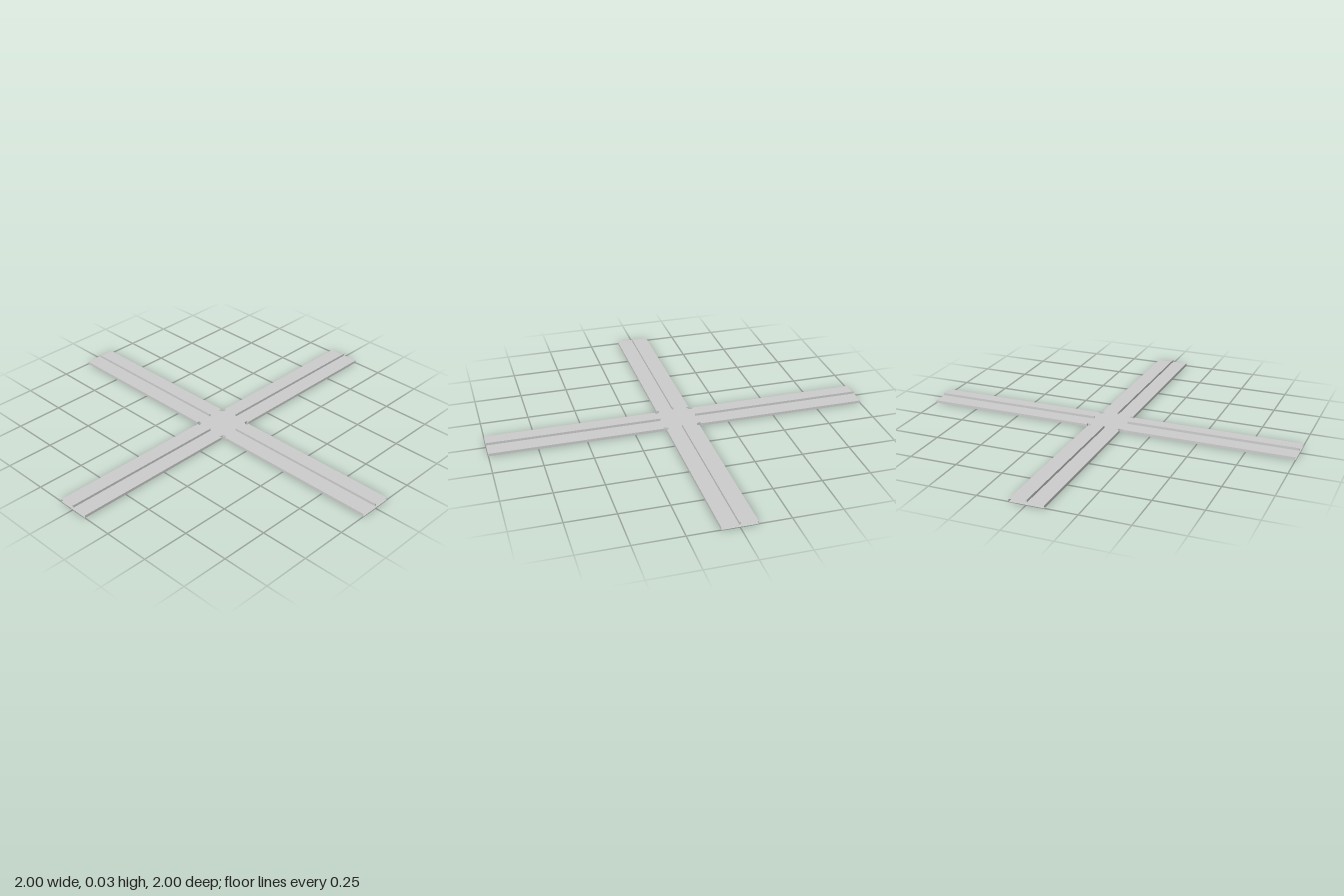
import * as THREE from 'three';

const HALF = 0.088;   // half width of an arm
const PLATE = 0.014;  // height of the plate's top
const TOP = 0.027;    // height of the ribs' top

export function createModel() {
  const group = new THREE.Group();
  const mat = new THREE.MeshStandardMaterial({ color: 0xcccccc, flatShading: true, side: THREE.DoubleSide });
  const add = (geometry, name) => {
    const mesh = new THREE.Mesh(geometry, mat);
    mesh.name = name;
    group.add(mesh);
    return mesh;
  };

  // Cross outline: one arm end and one relief notch, turned four times
  const quarter = [
    [1, -HALF], [1, HALF], [0.1, HALF], [0.1, 0.074],
    [0.08, 0.08], [0.074, 0.1], [HALF, 0.1],
  ];
  const outline = [];
  for (let i = 0; i < 4; i++) {
    const c = [1, 0, -1, 0][i], s = [0, 1, 0, -1][i];
    for (const [x, y] of quarter) outline.push(new THREE.Vector2(x * c - y * s, x * s + y * c));
  }
  const shape = new THREE.Shape(outline);

  // Top and bottom skins of the hollow plate
  add(new THREE.ShapeGeometry(shape).rotateX(-Math.PI / 2).translate(0, PLATE, 0), 'plateTop');
  add(new THREE.ShapeGeometry(shape).rotateX(Math.PI / 2), 'plateBottom');

  // Side walls, leaving the arm ends open
  const pos = [];
  outline.forEach((a, i) => {
    if (i % quarter.length === 0) return;
    const b = outline[(i + 1) % outline.length];
    const a0 = [a.x, 0, -a.y], b0 = [b.x, 0, -b.y];
    const a1 = [a.x, PLATE, -a.y], b1 = [b.x, PLATE, -b.y];
    pos.push(...a0, ...b0, ...b1, ...a0, ...b1, ...a1);
  });
  const walls = new THREE.BufferGeometry();
  walls.setAttribute('position', new THREE.Float32BufferAttribute(pos, 3));
  walls.computeVertexNormals();
  add(walls, 'plateSides');

  // Upright rib along the middle of each arm
  for (let i = 0; i < 4; i++) {
    const rib = new THREE.BoxGeometry(0.905, TOP - PLATE, 0.008);
    rib.translate(0.5475, (TOP + PLATE) / 2, 0);
    add(rib, 'armRib').rotation.y = i * Math.PI / 2;
  }
  return group;
}
